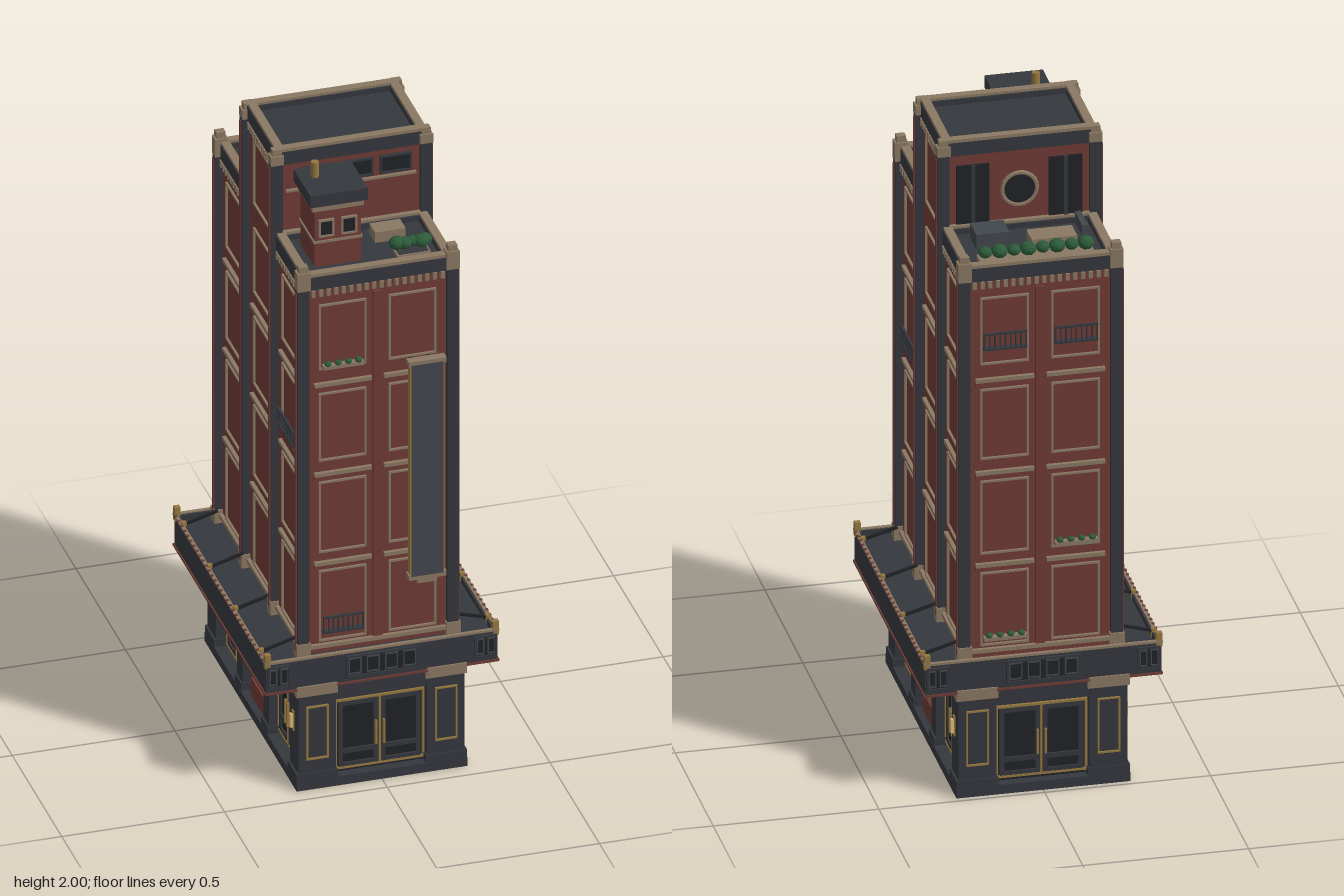
import * as THREE from 'three';

const material = (color) => new THREE.MeshStandardMaterial({ color, flatShading: true });
const dark = material(0x34373d), black = material(0x202227), slate = material(0x42474c);
const brick = material(0x6e3b35), tan = material(0x8a7762), gold = material(0x94783f);
const lamp = material(0xe0bd78), green = material(0x2c5a38);
const CZ = -0.017; // middle of the building in z

// Box from its extents
function box(parent, name, mat, x0, x1, y0, y1, z0, z1) {
  const m = new THREE.Mesh(new THREE.BoxGeometry(x1 - x0, y1 - y0, z1 - z0), mat);
  m.position.set((x0 + x1) / 2, (y0 + y1) / 2, (z0 + z1) / 2);
  m.name = name;
  parent.add(m);
  return m;
}

// Rectangular moulding on a wall whose face is z = 0
function frame(parent, name, mat, x0, x1, y0, y1, t = 0.008, d = 0.008) {
  const g = new THREE.Group();
  g.name = name;
  box(g, 'bottomRail', mat, x0, x1, y0, y0 + t, -0.002, d);
  box(g, 'topRail', mat, x0, x1, y1 - t, y1, -0.002, d);
  box(g, 'leftStile', mat, x0, x0 + t, y0, y1, -0.002, d);
  box(g, 'rightStile', mat, x1 - t, x1, y0, y1, -0.002, d);
  parent.add(g);
}

// Local wall space: x along the wall, z outward
function wall(parent, name, angle, x, z) {
  const g = new THREE.Group();
  g.name = name;
  g.rotation.y = angle;
  g.position.set(x, 0, z);
  parent.add(g);
  return g;
}

// Horizontal ring with an open middle
function ring(parent, name, mat, x0, x1, y0, y1, z0, z1, t) {
  box(parent, name, mat, x0, x1, y0, y1, z0, z0 + t);
  box(parent, name, mat, x0, x1, y0, y1, z1 - t, z1);
  box(parent, name, mat, x0, x0 + t, y0, y1, z0 + t, z1 - t);
  box(parent, name, mat, x1 - t, x1, y0, y1, z0 + t, z1 - t);
}

function railing(w, x0, x1, y) {
  box(w, 'balconySill', dark, x0, x1, y, y + 0.006, 0, 0.018);
  box(w, 'balconyRail', dark, x0, x1, y + 0.05, y + 0.056, 0.01, 0.018);
  for (let i = 0; i <= 8; i++) {
    const x = x0 + 0.002 + (x1 - x0 - 0.004) * i / 8;
    box(w, 'baluster', dark, x - 0.002, x + 0.002, y, y + 0.05, 0.011, 0.016);
  }
}

function flowerBox(w, x0, x1, y) {
  box(w, 'flowerBox', tan, x0, x1, y, y + 0.012, 0, 0.02);
  for (let i = 0; i < 4; i++) bush(w, x0 + (x1 - x0) * (i + 0.5) / 4, y + 0.016, 0.012, 0.011);
}

function bush(parent, x, y, z, r) {
  const m = new THREE.Mesh(new THREE.IcosahedronGeometry(r, 1), green);
  m.position.set(x, y, z);
  m.scale.y = 0.85;
  m.name = 'bush';
  parent.add(m);
}

// Double door with a gold surround and lit transom
function doors(w, x, half, top) {
  box(w, 'doorGlass', black, x - half, x + half, 0.03, top, 0, 0.006);
  frame(w, 'doorSurround', gold, x - half, x + half, 0.04, top, 0.007, 0.014);
  for (const s of [-1, 1]) {
    const a = x + (s < 0 ? -half + 0.012 : 0.004), b = x + (s < 0 ? -0.004 : half - 0.012);
    frame(w, 'doorLeaf', dark, a, b, 0.045, top - 0.01, 0.014, 0.012);
    box(w, 'doorRail', dark, a, b, 0.09, 0.105, 0, 0.012);
    box(w, 'doorHandle', gold, x + s * 0.012 - 0.003, x + s * 0.012 + 0.003, 0.11, 0.19, 0, 0.02);
  }
  box(w, 'doorPost', gold, x - 0.003, x + 0.003, 0.04, top, 0, 0.014);
}

function groundFloor(root) {
  const g = new THREE.Group();
  g.name = 'groundFloor';
  root.add(g);
  box(g, 'plinth', dark, -0.262, 0.262, 0, 0.03, -0.482, 0.448);
  box(g, 'core', dark, -0.215, 0.215, 0.03, 0.35, -0.445, 0.411);
  for (const s of [-1, 1]) {
    for (const e of [-1, 1]) {
      // Corner piers with framed panels
      const z = CZ + e * 0.415, zo = CZ + e * 0.46;
      box(g, 'cornerPier', dark, Math.min(s * 0.14, s * 0.255), Math.max(s * 0.14, s * 0.255), 0.03, 0.32, Math.min(z - e * 0.04, zo), Math.max(z - e * 0.04, zo));
      box(g, 'pierBase', dark, Math.min(s * 0.135, s * 0.262), Math.max(s * 0.135, s * 0.262), 0.03, 0.055, Math.min(z - e * 0.045, zo + e * 0.004), Math.max(z - e * 0.045, zo + e * 0.004));
      box(g, 'pierCapital', tan, Math.min(s * 0.135, s * 0.262), Math.max(s * 0.135, s * 0.262), 0.315, 0.35, Math.min(z - e * 0.045, zo + e * 0.004), Math.max(z - e * 0.045, zo + e * 0.004));
    }
    const w = wall(g, 'sideShopfront', s * Math.PI / 2, s * 0.215, CZ);
    for (const e of [-1, 1]) {
      doors(w, e * 0.26, 0.1, 0.29);
      box(w, 'doorTransom', lamp, e * 0.26 - 0.085, e * 0.26 + 0.085, 0.315, 0.327, 0, 0.012);
      box(w, 'sidePier', dark, e * 0.135 - 0.028, e * 0.135 + 0.028, 0.03, 0.34, 0, 0.04);
      box(w, 'sidePierBase', dark, e * 0.135 - 0.033, e * 0.135 + 0.033, 0.03, 0.055, 0, 0.046);
      for (const x of [e * 0.135, e * 0.41]) {
        const front = 0.04;
        box(w, 'wallLamp', lamp, x - 0.006, x + 0.006, 0.19, 0.235, front - 0.002, front + 0.012);
        box(w, 'lampBack', gold, x - 0.009, x + 0.009, 0.18, 0.245, front - 0.002, front + 0.004);
      }
    }
    box(w, 'windowBase', brick, -0.07, 0.07, 0.03, 0.09, 0, 0.025);
    box(w, 'shopWindow', black, -0.075, 0.075, 0.1, 0.21, 0, 0.01);
    frame(w, 'windowFrame', gold, -0.078, 0.078, 0.095, 0.215, 0.006, 0.014);
    box(w, 'windowHood', dark, -0.09, 0.09, 0.27, 0.285, 0, 0.03);
    box(w, 'windowLight', lamp, -0.05, 0.05, 0.252, 0.262, 0, 0.02);
    for (let i = -3; i <= 3; i++) box(w, 'windowBar', dark, i * 0.02 - 0.002, i * 0.02 + 0.002, 0.1, 0.21, 0, 0.013);
  }
  for (const e of [-1, 1]) {
    const w = wall(g, 'entrance', e > 0 ? 0 : Math.PI, 0, CZ + e * 0.428);
    doors(w, 0, 0.138, 0.275);
    box(w, 'entranceHead', dark, -0.14, 0.14, 0.285, 0.35, -0.01, 0.025);
    for (const x of [-0.198, 0.198]) {
      const p = wall(w, 'pierPanel', 0, x, 0.032);
      frame(p, 'panelFrame', gold, -0.034, 0.034, 0.1, 0.28, 0.005, 0.006);
    }
  }
}

function canopy(root) {
  const g = new THREE.Group();
  g.name = 'canopy';
  root.add(g);
  box(g, 'soffit', gold, -0.345, 0.345, 0.34, 0.352, -0.468, 0.434);
  box(g, 'deck', dark, -0.35, 0.35, 0.352, 0.43, -0.475, 0.44);
  ring(g, 'canopyEdge', dark, -0.356, 0.356, 0.345, 0.447, -0.48, 0.446, 0.014);
  ring(g, 'canopyTrim', tan, -0.36, 0.36, 0.443, 0.45, -0.484, 0.45, 0.012);
  ring(g, 'lowerTrim', brick, -0.36, 0.36, 0.34, 0.347, -0.484, 0.45, 0.012);
  for (const e of [-1, 1]) {
    const w = wall(g, 'canopyFace', e > 0 ? 0 : Math.PI, 0, CZ + e * 0.464);
    // Window strips on the ends
    for (const [c, h, n] of [[0, 0.112, 4], [-0.318, 0.034, 2], [0.318, 0.034, 2]]) {
      box(w, 'stripWindow', black, c - h, c + h, 0.365, 0.432, 0, 0.003);
      frame(w, 'stripFrame', dark, c - h, c + h, 0.362, 0.435, 0.006, 0.008);
      for (let i = 0; i < n; i++) {
        const x = c - h + 2 * h * (i + 0.5) / n, q = h / n * 0.72;
        frame(w, 'paneFrame', slate, x - q, x + q, 0.372, 0.426, 0.004, 0.006);
      }
    }
    for (const s of [-1, 1]) {
      box(w, 'canopyBracket', tan, s * 0.2 - 0.06, s * 0.2 + 0.06, 0.325, 0.352, -0.03, 0.004);
      box(g, 'finialPost', gold, s * 0.35 - 0.009, s * 0.35 + 0.009, 0.43, 0.475, CZ + e * 0.457 - 0.009, CZ + e * 0.457 + 0.009);
    }
  }
  for (const s of [-1, 1]) {
    for (const z of [-0.41, -0.148, 0.112, 0.372]) {
      // Tie rods from the tower to the canopy edge
      const rod = box(g, 'tieRod', black, -0.056, 0.056, -0.004, 0.004, -0.004, 0.004);
      rod.position.set(s * 0.298, 0.463, z);
      rod.rotation.z = -s * 0.28;
      box(g, 'rodAnchor', gold, s * 0.348 - 0.007, s * 0.348 + 0.007, 0.43, 0.458, z - 0.007, z + 0.007);
    }
    for (let i = 0; i < 30; i++) {
      const z = -0.46 + i * 0.0305;
      box(g, 'edgeStud', brick, s * 0.357 - 0.004, s * 0.357 + 0.004, 0.445, 0.453, z - 0.004, z + 0.004);
    }
  }
}

// Mouldings, floor bands and cornice of one wall
function facade(w, half, columns, top) {
  const rows = [[0.47, 0.71], [0.77, 1.01], [1.08, 1.31], [1.39, 1.61]];
  if (top > 1.8) rows.push([1.69, 1.91]);
  const pw = columns === 2 ? 0.073 : half * 0.62;
  for (const c of columns === 2 ? [-0.107, 0.107] : [0]) {
    for (const [a, b] of rows) frame(w, 'panelMoulding', tan, c - pw, c + pw, a, b, 0.006, 0.007);
    for (const y of [0.735, 1.037, 1.34]) {
      box(w, 'floorBand', tan, c - pw - 0.015, c + pw + 0.015, y - 0.006, y + 0.006, 0, 0.012);
      box(w, 'bandShadow', brick, c - pw - 0.015, c + pw + 0.015, y - 0.016, y - 0.006, 0, 0.007);
    }
  }
  if (columns === 2) box(w, 'middleStrip', brick, -0.014, 0.014, 0.45, top - 0.09, 0, 0.008);
  box(w, 'baseTrim', tan, -half, half, 0.45, 0.462, 0, 0.012);
  const n = Math.round(half / 0.012);
  for (let i = 0; i < n; i++) {
    const x = -half + 2 * half * (i + 0.5) / n;
    box(w, 'dentil', tan, x - 0.006, x + 0.006, top - 0.078, top - 0.056, 0, 0.012);
  }
}

function towerBlock(root, name, z0, z1, top, ends) {
  const g = new THREE.Group();
  g.name = name;
  root.add(g);
  const zc = (z0 + z1) / 2, X = 0.225;
  box(g, 'brickBody', brick, -X, X, 0.43, top - 0.04, z0, z1);
  box(g, 'roof', dark, -X + 0.01, X - 0.01, top - 0.04, top - 0.025, z0 + 0.005, z1 - 0.005);
  ring(g, 'parapet', dark, -X - 0.008, X + 0.008, top - 0.055, top - 0.008, z0 - 0.008, z1 + 0.008, 0.03);
  ring(g, 'coping', tan, -X - 0.006, X + 0.006, top - 0.01, top, z0 - 0.01, z1 + 0.01, 0.026);
  for (const s of [-1, 1]) {
    facade(wall(g, 'sideWall', s * Math.PI / 2, s * X, zc), (z1 - z0) / 2 - 0.015, 1, top);
    for (const z of [z0, z1]) {
      const outer = ends !== 0 && z === (ends > 0 ? z1 : z0), h = ends === 0 || outer ? 0 : null;
      if (h === null) continue;
      // Corner piers with capped heads
      const peak = top + (ends === 0 ? 0 : 0.03);
      box(g, 'cornerPier', dark, s * 0.23 - 0.018, s * 0.23 + 0.018, 0.44, top - 0.05, z - 0.014, z + 0.014);
      box(g, 'pierHead', tan, s * 0.229 - 0.02, s * 0.229 + 0.02, top - 0.05, peak - 0.02, z - 0.017, z + 0.017);
      box(g, 'pierCap', tan, s * 0.229 - 0.014, s * 0.229 + 0.014, peak - 0.02, peak, z - 0.012, z + 0.012);
      box(g, 'pierLine', brick, s * 0.245 - 0.007, s * 0.245 + 0.007, 0.45, top - 0.06, z - 0.006, z + 0.006);
      box(g, 'pierFoot', tan, s * 0.23 - 0.022, s * 0.23 + 0.022, 0.43, 0.475, z - 0.018, z + 0.018);
    }
  }
  if (ends) facade(wall(g, ends > 0 ? 'frontWall' : 'backWall', ends > 0 ? 0 : Math.PI, 0, ends > 0 ? z1 : z0), 0.21, 2, top);
  return g;
}

function upperStorey(g) {
  const f = wall(g, 'upperFront', 0, 0, 0.13);
  for (const x of [-0.1, 0.02, 0.137]) {
    box(f, 'upperWindow', black, x - 0.045, x + 0.045, 1.87, 1.92, 0, 0.005);
    frame(f, 'upperWindowFrame', dark, x - 0.048, x + 0.048, 1.865, 1.925, 0.006, 0.01);
  }
  box(f, 'upperBand', tan, -0.2, 0.2, 1.85, 1.857, 0, 0.01);
  const b = wall(g, 'upperBack', Math.PI, 0, -0.16);
  for (const s of [-1, 1]) {
    box(b, 'tallPanel', black, s * 0.14 - 0.05, s * 0.14 + 0.05, 1.71, 1.91, 0, 0.006);
    box(b, 'tallPanelPost', dark, s * 0.14 - 0.006, s * 0.14 + 0.006, 1.71, 1.91, 0, 0.012);
  }
  const glass = new THREE.Mesh(new THREE.CylinderGeometry(0.05, 0.05, 0.012, 24), black);
  glass.rotation.x = Math.PI / 2;
  const rim = new THREE.Mesh(new THREE.TorusGeometry(0.052, 0.007, 6, 24), tan);
  glass.name = 'roundWindow';
  rim.name = 'roundWindowRim';
  glass.position.set(0, 1.82, 0.004);
  rim.position.set(0, 1.82, 0.008);
  b.add(glass, rim);
}

function hangingSign(root) {
  const g = new THREE.Group();
  g.name = 'hangingSign';
  root.add(g);
  box(g, 'signBoard', slate, 0.08, 0.178, 0.69, 1.405, 0.456, 0.484);
  box(g, 'signEdge', gold, 0.076, 0.182, 0.695, 1.4, 0.458, 0.48);
  box(g, 'signTop', tan, 0.072, 0.188, 1.4, 1.417, 0.455, 0.483);
  box(g, 'signBottom', tan, 0.072, 0.188, 0.677, 0.694, 0.455, 0.483);
  box(g, 'signPoint', tan, 0.1, 0.16, 0.662, 0.677, 0.46, 0.478);
  for (let i = 0; i < 6; i++) for (const x of [0.103, 0.157])
    box(g, 'signArm', black, x - 0.005, x + 0.005, 0.7 + i * 0.136, 0.71 + i * 0.136, 0.395, 0.458);
}

function roofItems(root) {
  const g = new THREE.Group();
  g.name = 'roofItems';
  root.add(g);
  // Roof hut
  box(g, 'hutBody', brick, -0.17, -0.028, 1.68, 1.9, 0.185, 0.325);
  box(g, 'hutCornice', tan, -0.178, -0.02, 1.885, 1.905, 0.178, 0.332);
  box(g, 'hutRoof', dark, -0.187, -0.011, 1.905, 1.945, 0.17, 0.34);
  box(g, 'hutDoor', slate, -0.03, -0.022, 1.7, 1.85, 0.215, 0.285);
  box(g, 'hutBand', tan, -0.174, -0.024, 1.775, 1.783, 0.181, 0.329);
  const w = wall(g, 'hutFront', 0, -0.1, 0.325);
  for (const x of [-0.035, 0.035]) {
    box(w, 'hutWindow', black, x - 0.02, x + 0.02, 1.8, 1.85, 0, 0.004);
    frame(w, 'hutWindowFrame', tan, x - 0.024, x + 0.024, 1.796, 1.854, 0.006, 0.008);
  }
  const pipe = new THREE.Mesh(new THREE.CylinderGeometry(0.012, 0.012, 0.055, 10), gold);
  pipe.position.set(-0.14, 1.968, 0.228);
  pipe.name = 'hutPipe';
  g.add(pipe);
  // Furniture, planters and vents
  box(g, 'bench', tan, 0.042, 0.136, 1.69, 1.73, 0.182, 0.24);
  box(g, 'frontPlanter', tan, 0.078, 0.18, 1.685, 1.705, 0.26, 0.35);
  box(g, 'frontPlanterSoil', dark, 0.083, 0.175, 1.7, 1.707, 0.265, 0.345);
  [0.09, 0.113, 0.138, 0.163, 0.176].forEach((x, i) => bush(g, x, 1.722, 0.302 + (i % 2) * 0.006, 0.025 - (i % 3) * 0.003));
  box(g, 'backPlanter', tan, -0.172, 0.172, 1.685, 1.71, -0.404, -0.354);
  for (let i = 0; i < 8; i++) bush(g, -0.152 + i * 0.0434, 1.727, -0.378, i % 2 ? 0.021 : 0.025);
  box(g, 'roofHatch', tan, -0.14, -0.003, 1.685, 1.722, -0.318, -0.246);
  box(g, 'ventBox', slate, 0.058, 0.158, 1.685, 1.742, -0.29, -0.207);
  box(g, 'roofDuct', slate, -0.183, -0.165, 1.685, 1.73, -0.273, -0.175);
}

export function createModel() {
  const root = new THREE.Group();
  root.name = 'cornerBuilding';
  groundFloor(root);
  canopy(root);
  const front = towerBlock(root, 'frontBlock', 0.13, 0.398, 1.72, 1);
  const back = towerBlock(root, 'backBlock', -0.436, -0.16, 1.72, -1);
  upperStorey(towerBlock(root, 'middleBlock', -0.16, 0.13, 2, 0));
  // Balconies and flower boxes
  const fw = front.getObjectByName('frontWall'), bw = back.getObjectByName('backWall');
  railing(fw, -0.17, -0.045, 0.5);
  flowerBox(fw, -0.17, -0.045, 1.395);
  for (const c of [-0.107, 0.107]) railing(bw, c - 0.065, c + 0.065, 1.44);
  flowerBox(bw, 0.042, 0.172, 0.78);
  flowerBox(bw, -0.172, -0.042, 0.49);
  for (const c of front.children) if (c.name === 'sideWall') railing(c, -0.08, 0.08, 1.1);
  hangingSign(root);
  roofItems(root);
  return root;
}
